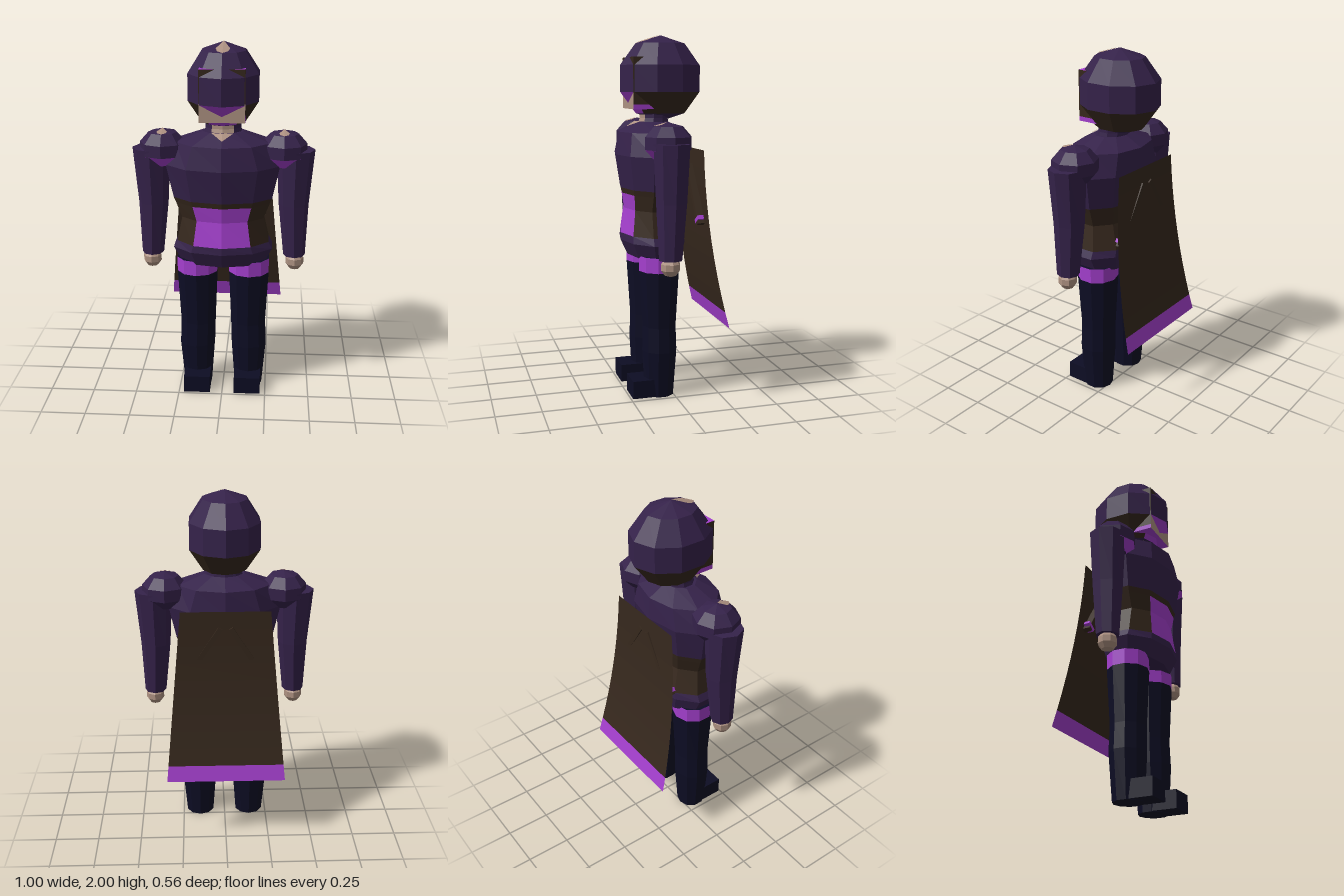
import * as THREE from 'three';

const paint = (name, color, side = THREE.FrontSide) =>
  Object.assign(new THREE.MeshStandardMaterial({ color, side }), { name });
const cloth = paint('dark purple cloth', 0x35224a);
const brown = paint('dark brown cloth', 0x36281d, THREE.DoubleSide);
const purple = paint('bright purple', 0xa43fce, THREE.DoubleSide);
const navy = paint('navy', 0x0d0d24);
const skin = paint('skin', 0xae9282);

// Faceted body through elliptical rings [y, rx, rz, cx, cz], listed top to bottom.
// pick(row, isFront) chooses the material; facet corners start at the front.
function loft(name, rings, seg, pick) {
  const buckets = new Map();
  const at = ([y, rx, rz, cx, cz], i) => {
    const a = (i / seg) * Math.PI * 2;
    return new THREE.Vector3(cx + Math.sin(a) * rx, y, cz + Math.cos(a) * rz);
  };
  const full = [[rings[0][0], 0, 0, rings[0][3], rings[0][4]], ...rings];
  const last = rings[rings.length - 1];
  full.push([last[0], 0, 0, last[3], last[4]]);
  for (let j = 0; j < full.length - 1; j++) {
    for (let i = 0; i < seg; i++) {
      const mat = pick(j - 1, i === 0 || i === seg - 1);
      if (!buckets.has(mat)) buckets.set(mat, []);
      const a = at(full[j], i), b = at(full[j + 1], i);
      const c = at(full[j + 1], i + 1), d = at(full[j], i + 1);
      for (const t of [[a, b, c], [a, c, d]]) {
        if (new THREE.Triangle(...t).getArea() > 1e-7) buckets.get(mat).push(...t);
      }
    }
  }
  const pts = [], mats = [...buckets.keys()];
  const geo = new THREE.BufferGeometry();
  mats.forEach((m, k) => {
    geo.addGroup(pts.length, buckets.get(m).length, k);
    pts.push(...buckets.get(m));
  });
  geo.setFromPoints(pts);
  geo.computeVertexNormals();
  const mesh = new THREE.Mesh(geo, mats);
  mesh.name = name;
  return mesh;
}

// Rings of a coarse ball with five bands
const ballRings = (cx, cy, cz, rx, ry, rz) => [0, 1, 2, 3, 4, 5].map((k) => {
  const a = (k * Math.PI) / 5;
  return [cy + Math.cos(a) * ry, Math.sin(a) * rx, Math.sin(a) * rz, cx, cz];
});

// Thin mirrored patch: half outline from the upper ridge point to the lower one
function patch(name, half, cx = 0) {
  const pts = [];
  for (const s of [1, -1]) {
    const p = half.map(([x, y, z]) => new THREE.Vector3(cx + s * x, y + 0.003, z + 0.003));
    for (let k = 1; k < p.length - 1; k++) {
      pts.push(p[0], ...(s > 0 ? [p[k + 1], p[k]] : [p[k], p[k + 1]]));
    }
  }
  const geo = new THREE.BufferGeometry().setFromPoints(pts);
  geo.computeVertexNormals();
  const mesh = new THREE.Mesh(geo, skin);
  mesh.name = name;
  return mesh;
}

// Patch lying on the two front facets at the top of a ball
function crownPatch(name, cx, cy, cz, rx, ry, rz, seg) {
  const r = Math.sin(Math.PI / 5), drop = ry * (1 - Math.cos(Math.PI / 5));
  const a = (Math.PI * 2) / seg;
  const on = (u, v) => [v * r * rx * Math.sin(a), cy + ry - (u + v) * drop,
    cz + r * rz * (u + v * Math.cos(a))];
  return patch(name, [on(0, 0), on(0.12, 0.3), on(0.15, 0.52), on(0.5, 0.4), on(1, 0)], cx);
}

function box(name, mat, w, h, d, x, y, z) {
  const mesh = new THREE.Mesh(new THREE.BoxGeometry(w, h, d), mat);
  mesh.position.set(x, y, z);
  mesh.name = name;
  return mesh;
}

// Flared cape strip between two heights
function capeStrip(name, mat, y0, y1, rows) {
  let geo = new THREE.PlaneGeometry(2, 1, 1, rows);
  const p = geo.attributes.position;
  for (let i = 0; i < p.count; i++) {
    const y = y0 + (p.getY(i) + 0.5) * (y1 - y0);
    const t = (1.38 - y) / 0.98;
    p.setXYZ(i, p.getX(i) * (0.245 + 0.09 * t), y, -0.155 - 0.125 * t * t);
  }
  geo = geo.toNonIndexed();
  geo.computeVertexNormals();
  const mesh = new THREE.Mesh(geo, mat);
  mesh.name = name;
  return mesh;
}

function createModel() {
  const model = new THREE.Group();
  model.name = 'capedFigure';

  // Hood with a brown lower band and a purple front point
  const hood = [0, 1.765, 0.02, 0.21, 0.235, 0.242];
  model.add(loft('hood', ballRings(...hood), 10,
    (row, front) => (row === 3 ? (front ? purple : brown) : cloth)));
  model.add(crownPatch('crownPatch', ...hood, 10));

  // Face block showing through the hood
  model.add(box('brow', [brown, brown, purple, brown, brown, brown],
    0.244, 0.18, 0.125, 0, 1.79, 0.1425));
  model.add(box('face', [brown, brown, brown, brown, skin, brown],
    0.244, 0.075, 0.125, 0, 1.6625, 0.1425));
  model.add(box('jaw', [purple, purple, brown, purple, skin, purple],
    0.244, 0.025, 0.125, 0, 1.6125, 0.1425));

  // Neck and collar
  model.add(loft('neck', [[1.61, 0.1, 0.08, 0, 0.06], [1.55, 0.1, 0.08, 0, 0.06],
    [1.5, 0.11, 0.09, 0, 0.065]], 10, (row, front) => (front ? skin : cloth)));
  model.add(patch('collarPatch', [[0, 1.53, 0.163], [0.06, 1.53, 0.148], [0, 1.5, 0.215]]));

  // Torso: chest, brown waist with a purple front panel, hips
  const torso = [
    [1.53, 0.11, 0.09, 0.07], [1.475, 0.255, 0.19, 0.07], [1.35, 0.31, 0.205, 0.075],
    [1.165, 0.27, 0.17, 0.08], [1.135, 0.258, 0.163, 0.08], [1.05, 0.225, 0.146, 0.085],
    [0.91, 0.255, 0.178, 0.075], [0.87, 0.275, 0.18, 0.075], [0.785, 0.235, 0.15, 0.065],
  ].map(([y, x, rz, cz]) => [y, x / 0.951, rz, 0, cz]);
  model.add(loft('torso', torso, 10, (row, front) => {
    if (row < 3 || row > 5) return cloth;
    return front && row > 3 ? purple : brown;
  }));

  for (const s of [1, -1]) {
    const side = s > 0 ? 'left' : 'right';

    // Shoulder pad
    const pad = [s * 0.33, 1.43, 0.07, 0.133, 0.108, 0.133];
    model.add(loft(side + 'ShoulderPad', ballRings(...pad), 8,
      (row, front) => (row === 3 && front ? purple : cloth)));
    model.add(crownPatch(side + 'ShoulderPatch', ...pad, 8));

    // Arm and hand
    model.add(loft(side + 'Arm', [
      [1.43, 0.105, 0.1, s * 0.395, 0.07], [1.12, 0.083, 0.085, s * 0.39, 0.07],
      [0.82, 0.061, 0.064, s * 0.4, 0.078],
    ], 8, () => cloth));
    model.add(loft(side + 'Hand', ballRings(s * 0.404, 0.785, 0.08, 0.053, 0.055, 0.055), 8,
      () => skin));

    // Leg with a purple top band, and foot
    model.add(loft(side + 'Leg', [
      [0.8, 0.118, 0.115, s * 0.147, 0.07], [0.715, 0.118, 0.115, s * 0.147, 0.07],
      [0.4, 0.103, 0.096, s * 0.145, 0.07], [0.26, 0.104, 0.1, s * 0.15, 0.07],
      [0, 0.083, 0.084, s * 0.148, 0.072],
    ], 10, (row) => (row === 0 ? purple : navy)));
    model.add(box(side + 'Foot', navy, 0.15, 0.1, 0.17, s * 0.145, 0.053, 0.155));

    // Slanted blade under the cape, with its guard
    const blade = new THREE.Group();
    blade.name = side + 'BackBlade';
    blade.add(box('blade', brown, 0.026, 0.37, 0.04, 0, 0, 0));
    blade.add(box('guard', purple, 0.06, 0.022, 0.034, 0, -0.155, 0.003));
    blade.position.set(s * 0.128, 1.13, -0.145);
    blade.rotation.z = s * 0.565;
    model.add(blade);
  }

  // Cape and its hem
  model.add(capeStrip('cape', brown, 0.49, 1.38, 9));
  model.add(capeStrip('capeHem', purple, 0.4, 0.49, 1));
  return model;
}

export { createModel };
